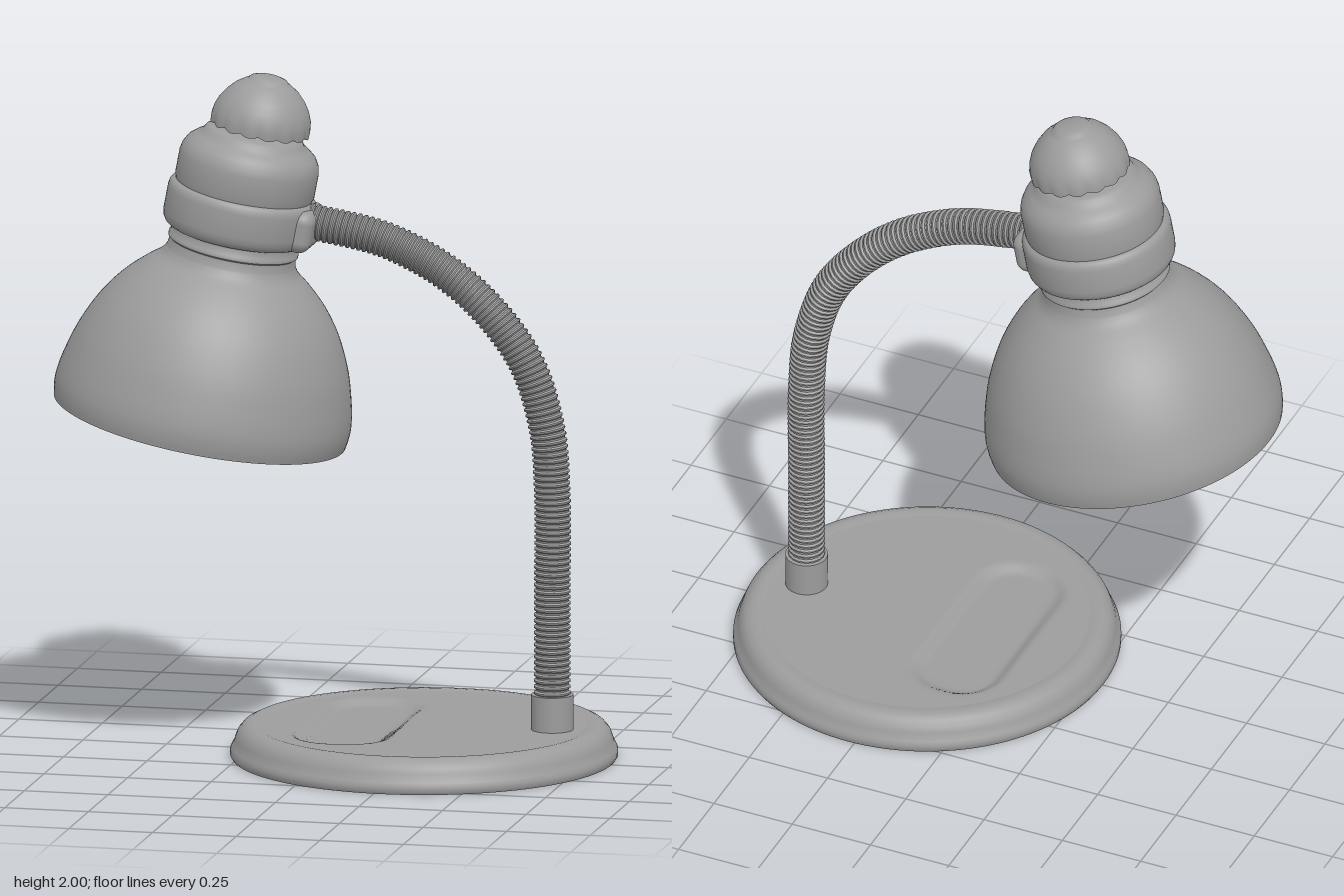
import * as THREE from 'three';
import { toCreasedNormals } from 'three/addons/utils/BufferGeometryUtils.js';
import { RoundedBoxGeometry } from 'three/addons/geometries/RoundedBoxGeometry.js';

const material = new THREE.MeshStandardMaterial({ color: 0x9c9c9c });
const Z = -0.012; // plane of the arm and head

// Smooth normals with sharp edges (enlarged meanwhile, so fine detail is not merged)
function crease(geometry, angle = 0.8) {
  return toCreasedNormals(geometry.scale(100, 100, 100), angle).scale(0.01, 0.01, 0.01);
}

function lathe(points, segments = 72) {
  return new THREE.LatheGeometry(points.map(([r, y]) => new THREE.Vector2(r, y)), segments);
}

function add(parent, name, geometry, x = 0, y = 0, z = 0) {
  const mesh = new THREE.Mesh(geometry, material);
  mesh.name = name;
  mesh.position.set(x, y, z);
  parent.add(mesh);
}

// Smooth profile through a few points
function smooth(points, divisions) {
  return new THREE.SplineCurve(points.map(([r, y]) => new THREE.Vector2(r, y)))
    .getPoints(divisions).map((p) => [p.x, p.y]);
}

// Round foot with a shallow tray pressed into its top
function buildBase() {
  const base = new THREE.Group();
  base.name = 'base';
  base.position.x = 0.27;
  add(base, 'baseBody', crease(lathe([
    [0, 0], [0.56, 0], [0.565, 0.008], [0.565, 0.022], [0.56, 0.034], [0.554, 0.044],
    [0.55, 0.058], [0.543, 0.075], [0.53, 0.09], [0.512, 0.099], [0.495, 0.1], [0.475, 0.096],
  ], 120)));

  const top = new THREE.RingGeometry(0, 0.475, 120, 60).rotateX(-Math.PI / 2);
  const p = top.attributes.position;
  const half = [0.148, 0.345], corner = 0.135;
  for (let i = 0; i < p.count; i++) {
    const qx = Math.abs(p.getX(i) + 0.197) - half[0] + corner;
    const qz = Math.abs(p.getZ(i)) - half[1] + corner;
    const inside = corner - Math.hypot(Math.max(qx, 0), Math.max(qz, 0)) - Math.min(Math.max(qx, qz), 0);
    p.setY(i, 0.096 - 0.02 * THREE.MathUtils.smoothstep(inside, 0, 0.045));
  }
  top.computeVertexNormals();
  add(base, 'baseTop', top);
  return base;
}

// Ribbed flexible arm
function buildArm() {
  const path = new THREE.CatmullRomCurve3([
    [0.65, 0.15], [0.65, 0.5], [0.65, 0.8], [0.632, 1.0], [0.562, 1.2],
    [0.386, 1.4], [0.17, 1.52], [-0.09, 1.575],
  ].map(([x, y]) => new THREE.Vector3(x, y, Z)));
  const rings = 104 * 4, sides = 16;
  const tube = new THREE.TubeGeometry(path, rings, 1, sides);
  const p = tube.attributes.position, v = new THREE.Vector3();
  for (let i = 0; i <= rings; i++) {
    const centre = path.getPointAt(i / rings);
    const radius = i % 4 < 2 ? 0.054 : 0.048;
    for (let j = 0; j <= sides; j++) {
      const k = i * (sides + 1) + j;
      v.fromBufferAttribute(p, k).sub(centre).multiplyScalar(radius).add(centre);
      p.setXYZ(k, v.x, v.y, v.z);
    }
  }
  return crease(tube, 0.6);
}

// Scalloped knob on top of the head
function buildKnob() {
  const knob = lathe([
    [0, 0.91], [0.125, 0.908], [0.138, 0.897], [0.146, 0.897], [0.147, 0.915], [0.143, 0.94],
    [0.133, 0.966], [0.117, 0.991], [0.095, 1.015], [0.068, 1.034], [0.06, 1.037],
    [0.054, 1.045], [0.04, 1.05], [0, 1.052],
  ], 128);
  const p = knob.attributes.position;
  for (let i = 0; i < p.count; i++) {
    const x = p.getX(i), y = p.getY(i), z = p.getZ(i);
    if (y > 0.92 || Math.hypot(x, z) < 0.13) continue;
    const wave = Math.abs(Math.cos(8 * Math.atan2(x, z)));
    const s = 0.985 + 0.02 * wave;
    p.setXYZ(i, x * s, y - (y < 0.9 ? 0.008 * wave - 0.004 : 0), z * s);
  }
  return crease(knob);
}

// Tilted head, modelled upright with the shade rim at y = 0
function buildHead() {
  const head = new THREE.Group();
  head.name = 'head';
  head.position.set(-0.404, 0.965, Z);
  head.rotation.z = -THREE.MathUtils.degToRad(10.8);

  const outer = smooth([
    [0.432, 0], [0.437, 0.03], [0.437, 0.07], [0.426, 0.13], [0.4, 0.22], [0.356, 0.315],
    [0.303, 0.39], [0.248, 0.445], [0.206, 0.48], [0.19, 0.505],
  ], 32);
  const inner = outer.map(([r, y]) => [r - 0.014, y]).reverse();
  add(head, 'shade', crease(lathe([
    [0, 0.505], ...inner, ...outer,
    [0.186, 0.53], [0.192, 0.535], [0.192, 0.545], [0.187, 0.55], [0.187, 0.575], [0.2, 0.58],
  ], 96)));

  add(head, 'collar', crease(lathe([
    [0.18, 0.572], [0.2, 0.573], [0.21, 0.58], [0.217, 0.592], [0.22, 0.61], [0.22, 0.68],
    [0.218, 0.693], [0.213, 0.702], [0.205, 0.708], [0.18, 0.71],
  ])));

  add(head, 'socketHousing', crease(lathe([
    [0.2, 0.7], [0.206, 0.72], [0.206, 0.79], [0.202, 0.81], [0.19, 0.832], [0.168, 0.85],
    [0.15, 0.862], [0.144, 0.874], [0.132, 0.88], [0, 0.88],
  ])));

  // Boss where the arm enters the collar
  add(head, 'armBoss', new RoundedBoxGeometry(0.1, 0.125, 0.21, 4, 0.035), 0.188, 0.637, 0);

  add(head, 'knobStem', new THREE.CylinderGeometry(0.028, 0.028, 0.08, 20), 0.008, 0.9, 0);
  add(head, 'knob', buildKnob(), 0.012, 0, 0);

  // Bulb and its holder inside the shade
  add(head, 'bulb', lathe(smooth([
    [0, 0.08], [0.09, 0.105], [0.153, 0.175], [0.17, 0.25], [0.15, 0.33],
    [0.1, 0.4], [0.068, 0.45], [0.065, 0.5],
  ], 32), 48));
  add(head, 'bulbHolder', new THREE.CylinderGeometry(0.085, 0.085, 0.07, 32), 0, 0.47, 0);
  return head;
}

export function createModel() {
  const lamp = new THREE.Group();
  lamp.name = 'deskLamp';
  lamp.add(buildBase(), buildHead());
  add(lamp, 'armSleeve', new THREE.CylinderGeometry(0.062, 0.062, 0.11, 40), 0.65, 0.145, Z);
  add(lamp, 'flexibleArm', buildArm());
  return lamp;
}
